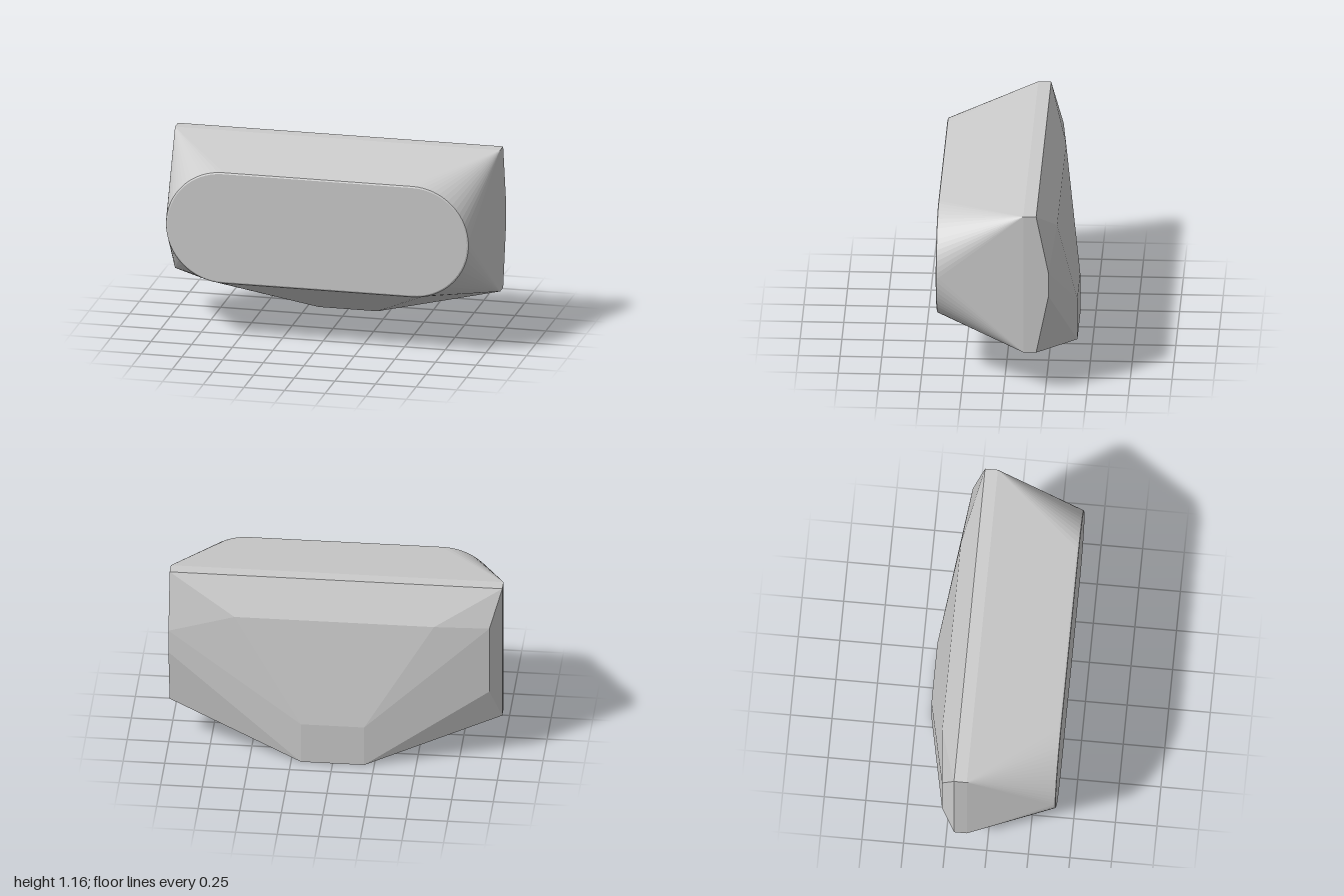
import * as THREE from 'three';
import { ConvexGeometry } from 'three/addons/geometries/ConvexGeometry.js';

// Outline of a pill shape facing +z
function pill(radius, z, steps = 32) {
  const points = [];
  for (const side of [1, -1]) {
    for (let i = 0; i <= steps; i++) {
      const a = -Math.PI / 2 + (Math.PI * i) / steps;
      points.push(new THREE.Vector3(side * (0.583 + radius * Math.cos(a)), 0.715 + radius * Math.sin(a), z));
    }
  }
  return points;
}

export function createModel() {
  const group = new THREE.Group();
  const points = [];

  // Pill-shaped front face with a small rounded rim
  for (const [radius, z] of [[0.338, 0.408], [0.347, 0.404], [0.35, 0.394]]) points.push(...pill(radius, z));

  // Corners shared by both halves: [x, y, z]
  const mirrored = [
    [1, 1.157, -0.12], [1, 1.157, -0.197],   // top edge
    [1, 0.27, -0.12], [1, 0.27, -0.197],     // lower side corners
    [0.6, 0.93, -0.305],                     // upper back crease
    [0.19, 0.265, -0.408],                   // lower back panel
    [0.18, 0, -0.392], [0.19, 0.003, -0.408] // bottom edge
  ];
  for (const [x, y, z] of mirrored) {
    points.push(new THREE.Vector3(x, y, z), new THREE.Vector3(-x, y, z));
  }

  // The back corners differ: a bulge on the left, a chamfer on the right
  for (const y of [0.79, 0.64]) points.push(new THREE.Vector3(1, y, -0.271));
  for (const y of [0.92, 0.48]) points.push(new THREE.Vector3(-0.93, y, -0.275));

  const shell = new THREE.Mesh(
    new ConvexGeometry(points),
    new THREE.MeshStandardMaterial({ color: 0xcccccc, flatShading: true })
  );
  shell.name = 'shell';
  group.add(shell);
  return group;
}
